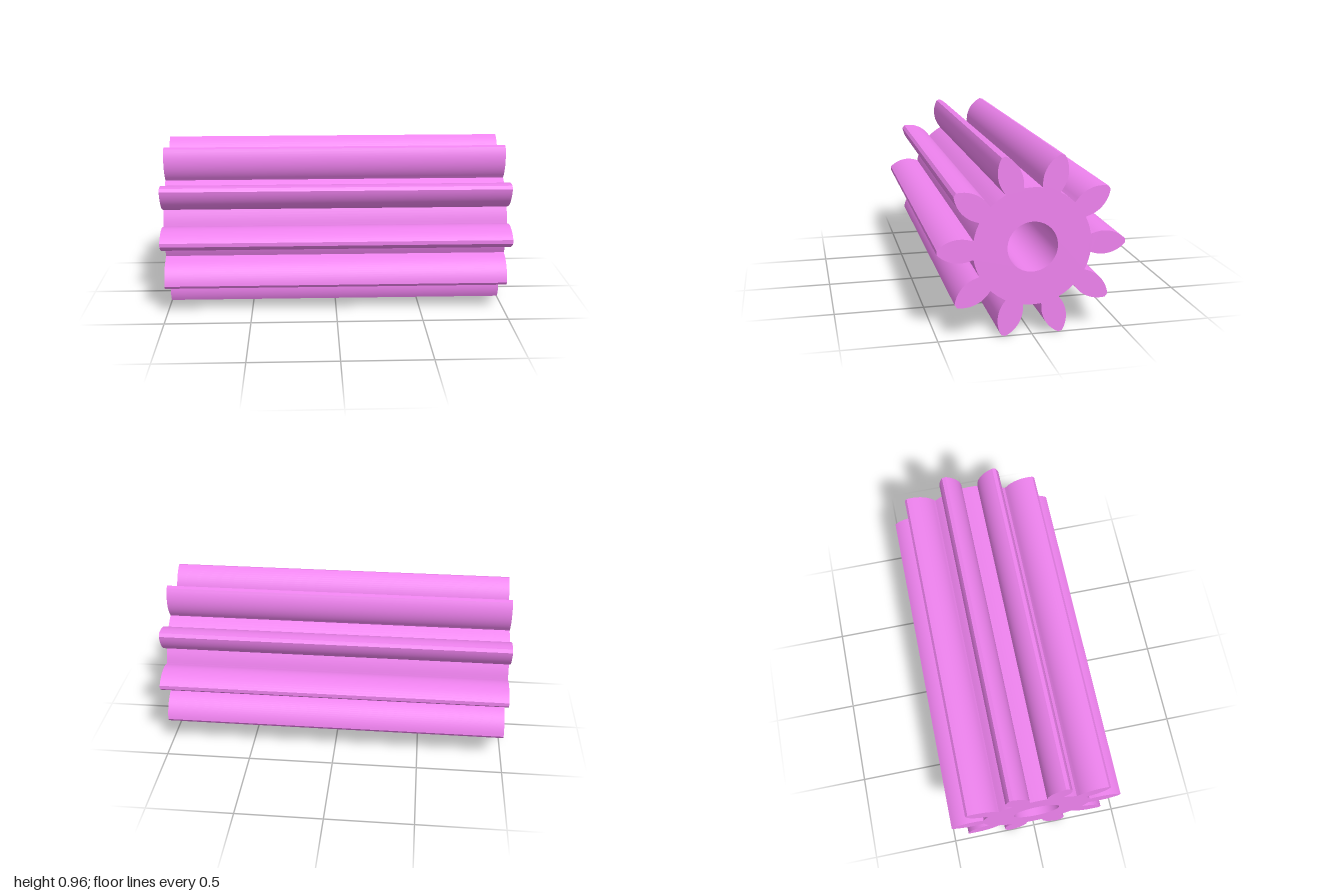
import * as THREE from 'three';
import { toCreasedNormals } from 'three/addons/utils/BufferGeometryUtils.js';

const TEETH = 10, LENGTH = 2, AXIS_Y = 0.479;
const ROOT_R = 0.3145, TIP_R = 0.5, BORE_R = 0.134;

// Half-width of a tooth at distance u from the axis: a bulging circular flank
const flank = (u) => Math.sqrt(0.1645 ** 2 - (u - 0.38) ** 2) - 0.1015;

// One side of a tooth, from root to tip, as [distance, half-width]
function toothSide() {
  const pts = [[0.311, 0.05]];
  const steps = 16;
  for (let i = 1; i <= steps; i++) {
    const u = 0.311 + (TIP_R - 0.311) * (i / steps);
    pts.push([u, flank(u)]);
  }
  return pts;
}

function gearShape() {
  const side = toothSide();
  const tooth = [
    ...side.map(([u, w]) => [u, -w]),
    ...side.slice().reverse(),
  ];
  const pitch = (Math.PI * 2) / TEETH;
  const rootHalf = Math.atan2(0.05, 0.311);
  const pts = [];
  for (let t = 0; t < TEETH; t++) {
    const a = t * pitch, c = Math.cos(a), s = Math.sin(a);
    for (const [u, w] of tooth) pts.push(new THREE.Vector2(u * c - w * s, u * s + w * c));
    // Root arc to the next tooth
    for (let k = 1; k < 6; k++) {
      const b = a + rootHalf + (pitch - 2 * rootHalf) * (k / 6);
      pts.push(new THREE.Vector2(ROOT_R * Math.cos(b), ROOT_R * Math.sin(b)));
    }
  }
  const shape = new THREE.Shape(pts);
  // Round bore through the middle
  const bore = [];
  for (let i = 0; i < 64; i++) {
    const b = (-i / 64) * Math.PI * 2;
    bore.push(new THREE.Vector2(BORE_R * Math.cos(b), BORE_R * Math.sin(b)));
  }
  shape.holes.push(new THREE.Path(bore));
  return shape;
}

export function createModel() {
  const group = new THREE.Group();
  group.name = 'pinionGear';

  let geo = new THREE.ExtrudeGeometry(gearShape(), { depth: LENGTH, bevelEnabled: false });
  geo.translate(0, 0, -LENGTH / 2);
  geo.rotateY(Math.PI / 2); // lay the axis along x
  geo = toCreasedNormals(geo, 0.5);

  const gear = new THREE.Mesh(geo, new THREE.MeshStandardMaterial({ color: 0xee82ee }));
  gear.name = 'toothedShaft';
  gear.position.y = AXIS_Y;
  group.add(gear);
  return group;
}
